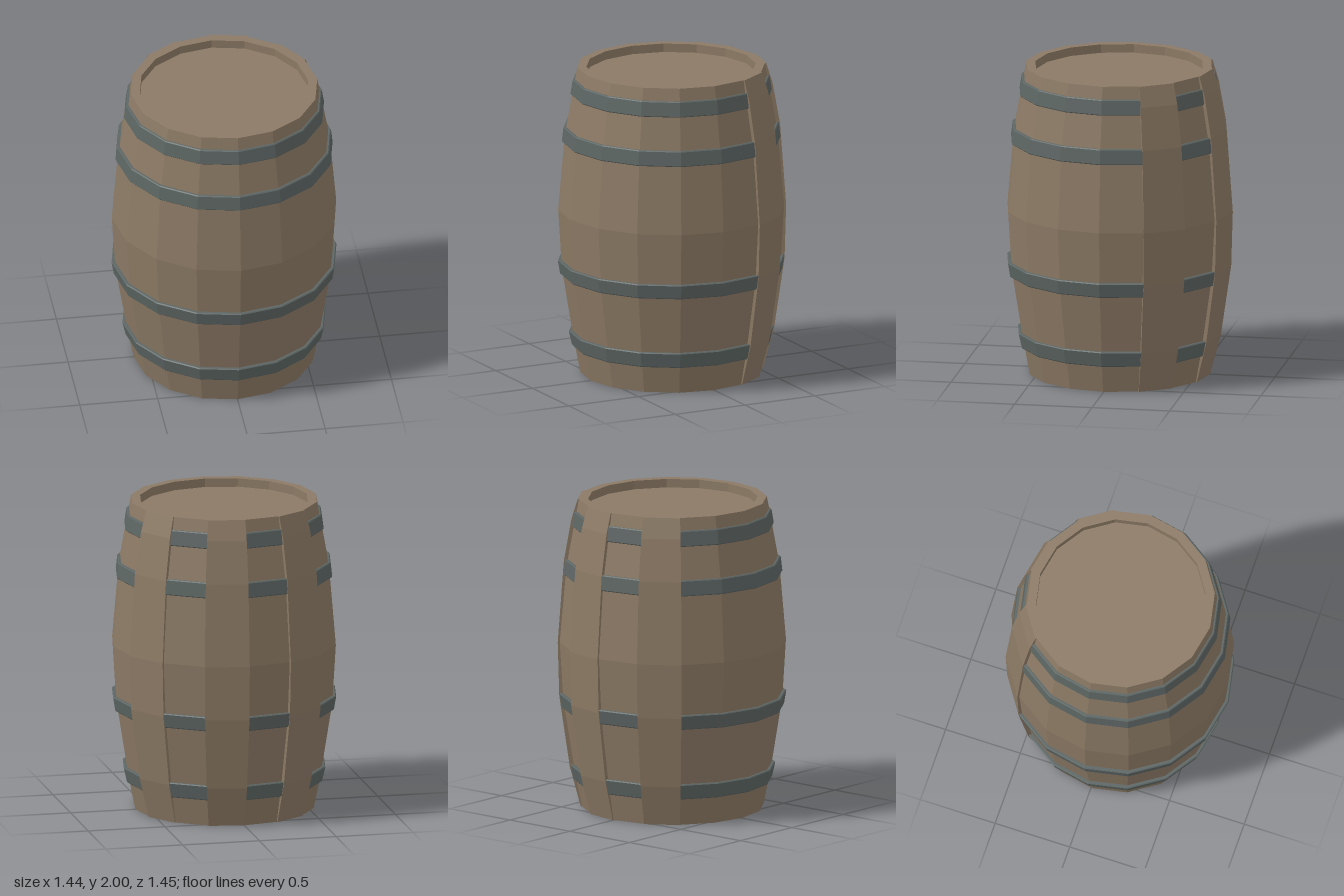
import * as THREE from 'three';

const SIDES = 16;
const STEP = (Math.PI * 2) / SIDES;

const toPoints = (list) => list.map(([r, y]) => new THREE.Vector2(r, y));

// radius and height up the staves
const staveProfile = [[0.578, 0], [0.22, 0], [0.69, 0], [1.07, 0]].slice(0, 1).concat([
  [0.622, 0.22], [0.697, 0.69], [0.72, 1.07], [0.678, 1.56], [0.622, 1.87], [0.598, 2],
]);

// raised planks bulge just far enough to cover the hoops
const plankProfile = [
  [0.586, 0], [0.656, 0.26], [0.723, 0.72], [0.733, 1.07], [0.694, 1.6], [0.646, 1.87], [0.606, 2],
];

// hoops: bottom height, top height, outer radius at bottom and top
const hoops = [
  [0.175, 0.275, 0.632, 0.652],
  [0.645, 0.74, 0.708, 0.722],
  [1.51, 1.61, 0.697, 0.687],
  [1.82, 1.92, 0.642, 0.628],
];

function createPlank(start, material) {
  const plank = new THREE.Group();
  plank.name = 'raisedPlank';
  const inner = staveProfile.map(([r, y]) => [r - 0.008, y]).reverse();
  const loop = toPoints([...plankProfile, ...inner, plankProfile[0]]);
  const slab = new THREE.Mesh(new THREE.LatheGeometry(loop, 1, start, STEP), material);
  slab.name = 'plankSlab';
  plank.add(slab);
  // close both long edges
  const edge = new THREE.ShapeGeometry(new THREE.Shape(loop.slice(0, -1)));
  for (const angle of [start, start + STEP]) {
    const side = new THREE.Mesh(edge, material);
    side.name = 'plankEdge';
    side.rotation.y = angle - Math.PI / 2;
    plank.add(side);
  }
  return plank;
}

export function createModel() {
  const wood = new THREE.MeshStandardMaterial({ color: 0x8c7a65 });
  const iron = new THREE.MeshStandardMaterial({ color: 0x5d6664 });
  wood.name = 'wood';
  iron.name = 'iron';
  wood.flatShading = iron.flatShading = true;
  wood.side = THREE.DoubleSide;

  const barrel = new THREE.Group();
  barrel.name = 'barrel';

  // staves, rim, recessed lid and base in one turned profile
  const body = new THREE.Mesh(
    new THREE.LatheGeometry(
      toPoints([[0, 0], ...staveProfile, [0.54, 2], [0.54, 1.945], [0, 1.945]]), SIDES),
    wood);
  body.name = 'barrelBody';
  barrel.add(body);

  // iron hoops with small chamfers
  for (const [y0, y1, r0, r1] of hoops) {
    const c = 0.006;
    const hoop = new THREE.Mesh(
      new THREE.LatheGeometry(toPoints([
        [r0 - 0.035, y0], [r0 - c, y0], [r0, y0 + c], [r1, y1 - c], [r1 - c, y1], [r1 - 0.035, y1],
      ]), SIDES),
      iron);
    hoop.name = 'hoop';
    barrel.add(hoop);
  }

  // three raised planks on the back, one on every other stave
  for (const i of [5, 7, 9]) barrel.add(createPlank(i * STEP, wood));

  barrel.position.z = 0.005;
  const model = new THREE.Group();
  model.name = 'model';
  model.add(barrel);
  return model;
}
